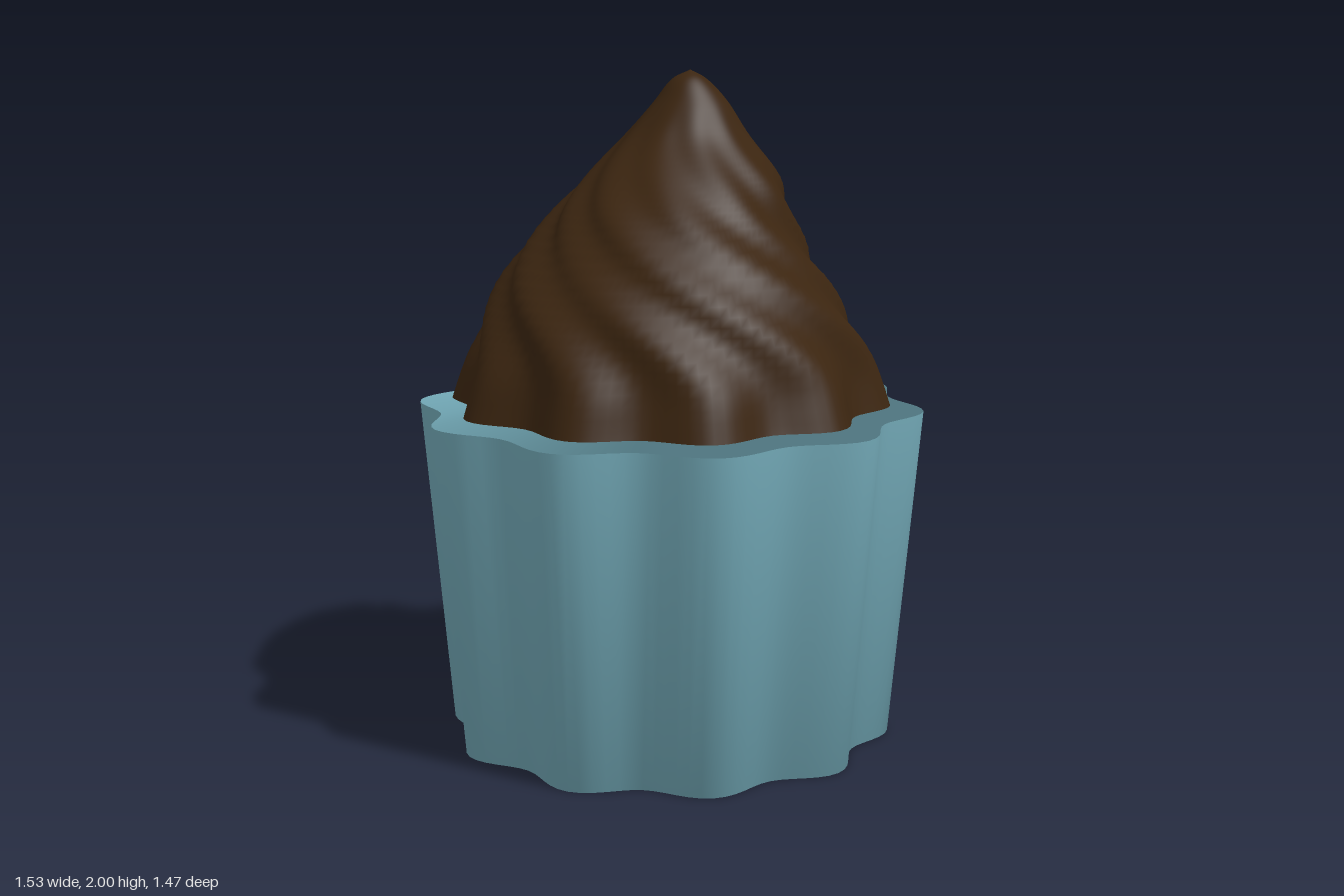
import * as THREE from 'three';

const LOBES = 10;
const SIDES = 120;

// Joins rings (bottom to top) into a smooth surface; each ring is { y, x, z, radius(angle) }.
function loft(rings) {
  const positions = [];
  const index = [];
  rings.forEach((ring, i) => {
    for (let j = 0; j < SIDES; j++) {
      const a = (j / SIDES) * Math.PI * 2;
      const r = ring.radius(a);
      positions.push(ring.x + r * Math.cos(a), ring.y, ring.z + r * Math.sin(a));
      if (i === rings.length - 1) continue;
      const p = i * SIDES + j;
      const q = i * SIDES + ((j + 1) % SIDES);
      index.push(p, p + SIDES, q, q, p + SIDES, q + SIDES);
    }
  });
  const geometry = new THREE.BufferGeometry();
  geometry.setAttribute('position', new THREE.Float32BufferAttribute(positions, 3));
  geometry.setIndex(index);
  geometry.computeVertexNormals();
  return geometry;
}

// A centred ring with ten rounded flutes
const fluted = (y, mean, depth) => ({
  y, x: 0, z: 0, radius: (a) => mean + depth * Math.cos(LOBES * a),
});

// Whipped top: leaning profile with flutes that twist into a swirl
function frostingRings() {
  // centre x, y, centre z, mean radius
  const profile = [
    [0, 0.97, 0, 0.645], [0, 1.02, 0, 0.63], [0, 1.2, 0, 0.572], [-0.01, 1.37, -0.01, 0.49],
    [-0.005, 1.56, -0.05, 0.365], [0.02, 1.68, -0.1, 0.29], [0.035, 1.8, -0.13, 0.19],
    [0.05, 1.9, -0.125, 0.115], [0.047, 1.97, -0.115, 0.055], [0.05, 2, -0.11, 0],
  ];
  const path = new THREE.CatmullRomCurve3(
    profile.map((p) => new THREE.Vector3(p[0], p[1], p[2])), false, 'catmullrom');
  const radii = new THREE.CatmullRomCurve3(
    profile.map((p) => new THREE.Vector3(p[3], 0, 0)), false, 'catmullrom');
  const rings = [];
  const steps = 54;
  for (let i = 0; i <= steps; i++) {
    const c = path.getPoint(i / steps);
    const mean = i === steps ? 0 : Math.max(0, radii.getPoint(i / steps).x);
    const twist = 2.0 * THREE.MathUtils.smoothstep(c.y, 1.1, 1.9);
    const fade = 1 - THREE.MathUtils.smoothstep(c.y, 1.45, 1.95);
    const flute = 0.034 - 0.02 * THREE.MathUtils.smoothstep(c.y, 1.0, 1.4);
    const fold = 0.014 * THREE.MathUtils.smoothstep(c.y, 1.2, 1.5);
    rings.push({
      y: c.y, x: c.x, z: c.z,
      radius: (a) => mean + fade * (
        flute * Math.cos(LOBES * (a - twist)) + fold * Math.sin(3 * (a - twist) + 0.6)),
    });
  }
  return rings;
}

export function createModel() {
  const model = new THREE.Group();
  model.name = 'cupcake';

  const paper = new THREE.MeshStandardMaterial({ color: 0x74abb9 });
  paper.name = 'blue paper';
  const chocolate = new THREE.MeshStandardMaterial({ color: 0x3b2510 });
  chocolate.name = 'chocolate';

  const add = (name, geometry, material) => {
    const mesh = new THREE.Mesh(geometry, material);
    mesh.name = name;
    model.add(mesh);
  };

  // Cup wall and base, softly shaded across the bottom edge
  add('cup', loft([fluted(0, 0, 0), fluted(0, 0.639, 0.036), fluted(1, 0.727, 0.038)]), paper);

  // Rim, its normals rolled outward and over the lip
  const rim = loft([fluted(1, 0.727, 0.038), fluted(1.015, 0.63, 0.034)]);
  const position = rim.attributes.position;
  const normal = new THREE.Vector3();
  for (let i = 0; i < position.count; i++) {
    normal.set(position.getX(i), 0, position.getZ(i)).normalize().setY(-0.45).normalize();
    rim.attributes.normal.setXYZ(i, normal.x, normal.y, normal.z);
  }
  add('cupRim', rim, paper);

  add('frosting', loft(frostingRings()), chocolate);
  return model;
}
